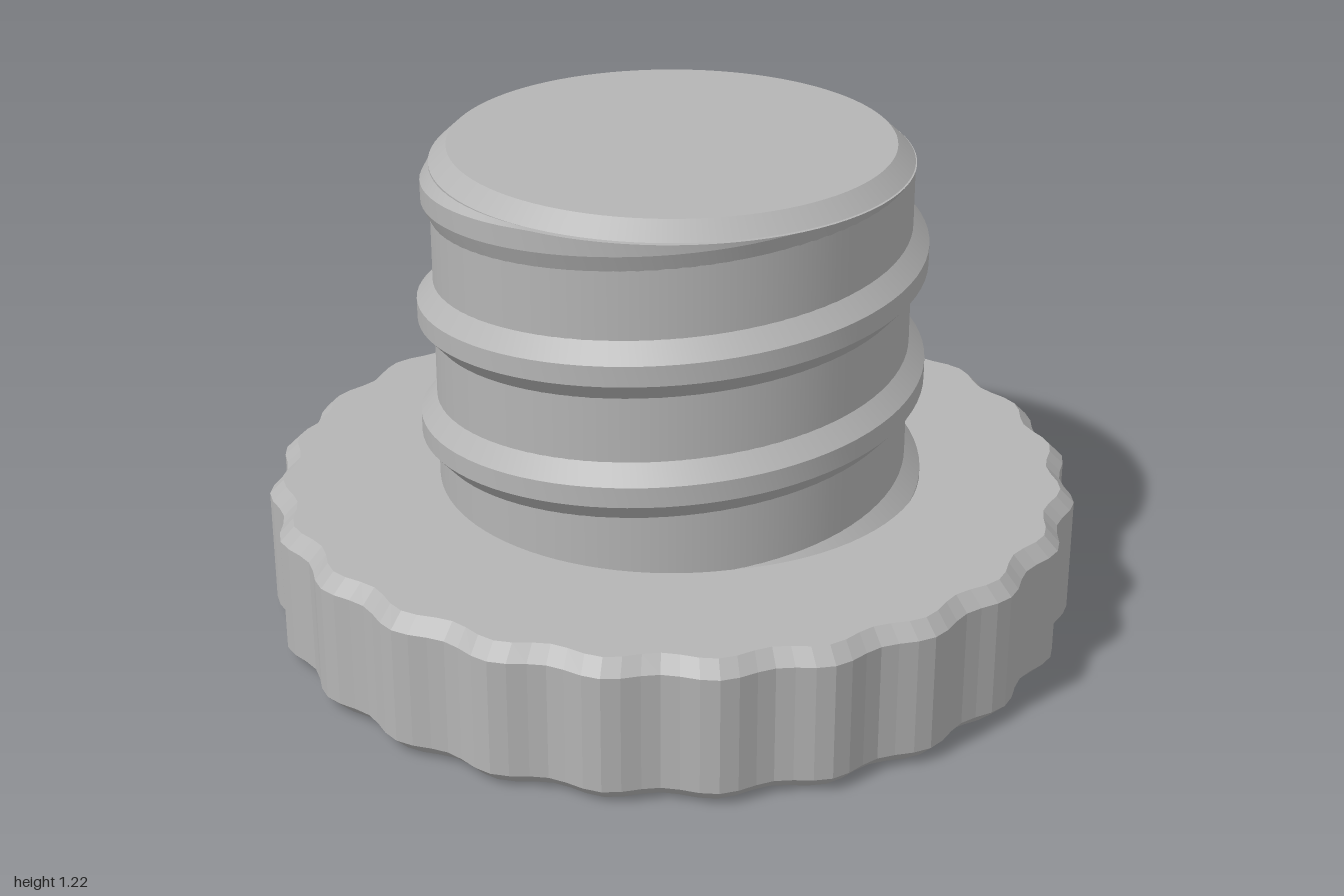
import * as THREE from 'three';
import { mergeGeometries } from 'three/addons/utils/BufferGeometryUtils.js';

const LOBES = 24, STEPS = LOBES * 6;
const BASE_H = 0.36, BEVEL = 0.035;
const CORE_R = 0.578, SHOULDER_Y = 1.175, TOP_Y = 1.215;
const TURN = Math.PI * 2;

// Strip surface: fn(u, row) gives a point, u runs 0..1 counterclockwise, rows go upward
function sweep(steps, rows, fn) {
  const pos = [], index = [];
  for (let i = 0; i <= steps; i++) {
    for (let j = 0; j < rows; j++) pos.push(...fn(i / steps, j));
  }
  for (let i = 0; i < steps; i++) {
    for (let j = 0; j < rows - 1; j++) {
      const a = i * rows + j, b = a + rows;
      index.push(a, b, a + 1, b, b + 1, a + 1);
    }
  }
  const g = new THREE.BufferGeometry();
  g.setAttribute('position', new THREE.Float32BufferAttribute(pos, 3));
  g.setIndex(index);
  g.computeVertexNormals();
  return g;
}

function faceted(geometry) {
  const g = geometry.toNonIndexed();
  g.computeVertexNormals();
  return g;
}

// Wavy outline of the grip
const gripRadius = (a) => 0.985 + 0.015 * Math.cos(LOBES * a);

function gripShape() {
  const pts = [];
  for (let i = 0; i < STEPS; i++) {
    const a = (i / STEPS) * TURN, r = gripRadius(a) - BEVEL;
    pts.push(new THREE.Vector2(r * Math.cos(a), r * Math.sin(a)));
  }
  return new THREE.Shape(pts);
}

export function createModel() {
  const group = new THREE.Group();
  const grey = new THREE.MeshStandardMaterial({ color: 0xb4b4b4 });
  grey.name = 'grey';
  const add = (name, geometry, x = 0, y = 0) => {
    const mesh = new THREE.Mesh(geometry, grey);
    mesh.name = name;
    mesh.position.set(x, y, 0);
    group.add(mesh);
  };

  // Scalloped grip with bevelled rims
  const rim = [[BEVEL, 0], [0, BEVEL], [0, BASE_H - BEVEL], [BEVEL, BASE_H]];
  add('gripSide', faceted(sweep(STEPS, rim.length, (u, j) => {
    const a = u * TURN, r = gripRadius(a) - rim[j][0];
    return [r * Math.cos(a), rim[j][1], -r * Math.sin(a)];
  })));
  add('gripTop', new THREE.ShapeGeometry(gripShape()).rotateX(-Math.PI / 2), 0, BASE_H);

  // Underside with a row of five shallow round holes
  const holeR = 0.09, holeDepth = 0.055;
  const under = gripShape();
  const holeProfile = [[0, holeDepth], [holeR, holeDepth], [holeR, 0]]
    .map(([r, y]) => new THREE.Vector2(r, y));
  for (let i = -2; i <= 2; i++) {
    const x = i * 0.3;
    under.holes.push(new THREE.Path().absarc(x, 0, holeR, 0, TURN, true));
    add('undersideHole', faceted(new THREE.LatheGeometry(holeProfile, 32)), x);
  }
  add('gripUnderside', new THREE.ShapeGeometry(under, 16).rotateX(Math.PI / 2));

  // Plug core and chamfered end
  const coreH = SHOULDER_Y - BASE_H, endH = TOP_Y - SHOULDER_Y;
  add('core', new THREE.CylinderGeometry(CORE_R, CORE_R, coreH, 96, 1, true), 0, BASE_H + coreH / 2);
  add('coreEnd', new THREE.CylinderGeometry(0.535, CORE_R, endH, 96), 0, SHOULDER_Y + endH / 2);

  // Helical thread that fades out over its last turn
  const pitch = 0.3, startTurn = -2.4, endTurn = 1;
  const profile = [[-0.004, -0.075], [0.04, -0.025], [0.04, 0.025], [-0.004, 0.075]];
  const flanks = [0, 1, 2].map((k) => sweep(300, 2, (u, j) => {
    const turn = startTurn + u * (endTurn - startTurn);
    const [dr, dy] = profile[k + j];
    const fade = dr > 0 ? 1 - Math.max(0, turn) : 1;
    const r = CORE_R + dr * fade, a = turn * TURN;
    const y = Math.min(0.97 + turn * pitch + dy, SHOULDER_Y);
    return [r * Math.cos(a), y, -r * Math.sin(a)];
  }));
  add('thread', mergeGeometries(flanks));

  return group;
}
